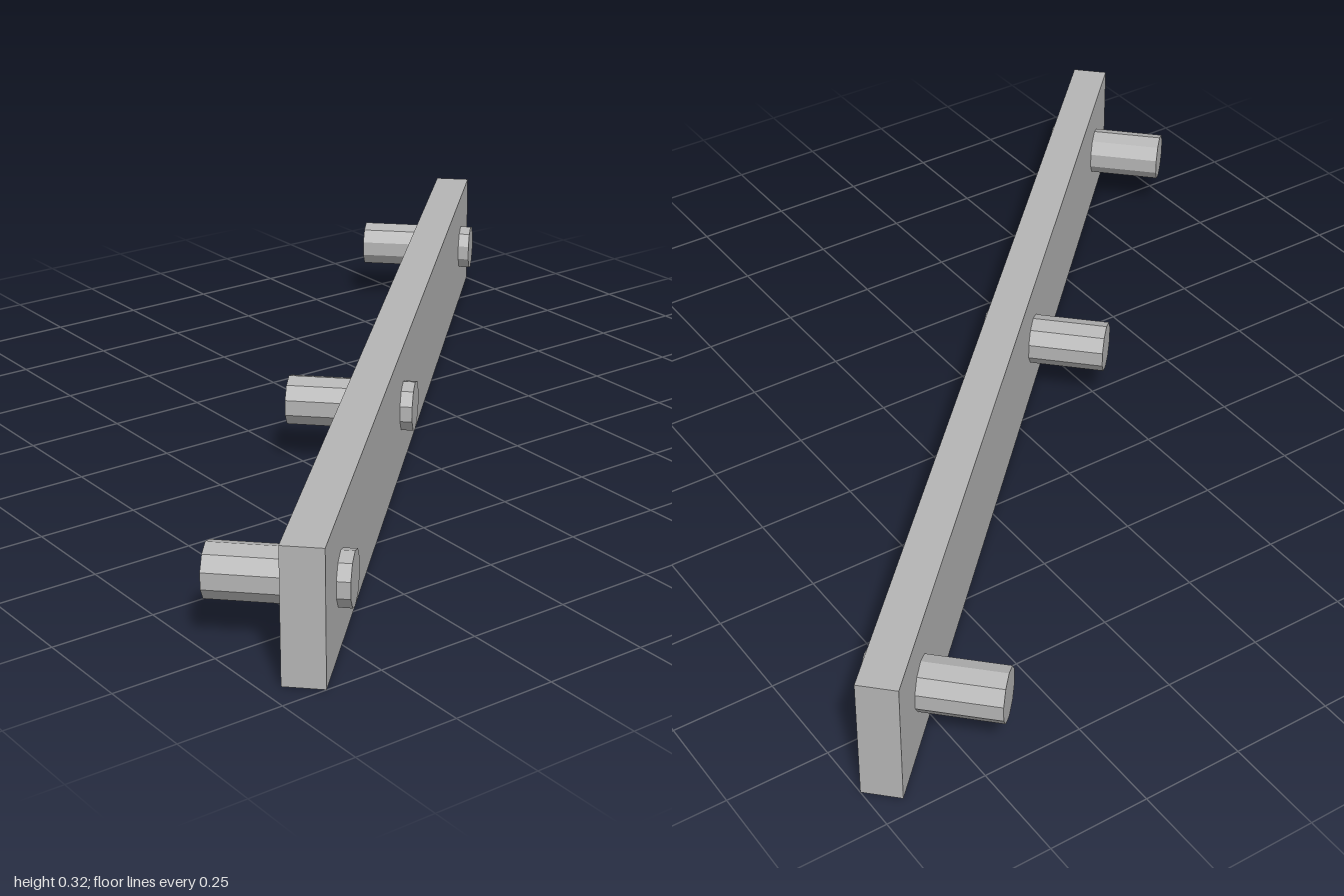
import * as THREE from 'three';

export function createModel() {
  const grey = new THREE.MeshStandardMaterial({ color: 0xb4b4b4, flatShading: true });
  grey.name = 'plain grey';

  // Rail runs diagonally: local x along the rail, local z through its thickness
  const model = new THREE.Group();
  const rack = new THREE.Group();
  rack.name = 'pegRail';
  rack.rotation.y = Math.PI / 4;
  model.add(rack);

  const rail = new THREE.Mesh(new THREE.BoxGeometry(2.673, 0.32, 0.095), grey);
  rail.name = 'rail';
  rail.position.set(0, 0.16, 0.03);
  rack.add(rail);

  // Ten-sided pegs pass through the rail, longer on the back
  const pegGeometry = new THREE.CylinderGeometry(0.064, 0.064, 0.32, 10);
  pegGeometry.rotateX(Math.PI / 2);
  [-1.144, -0.163, 1.146].forEach((x, i) => {
    const peg = new THREE.Mesh(pegGeometry, grey);
    peg.name = `peg${i + 1}`;
    peg.position.set(x, 0.162, -0.052);
    rack.add(peg);
  });

  return model;
}
